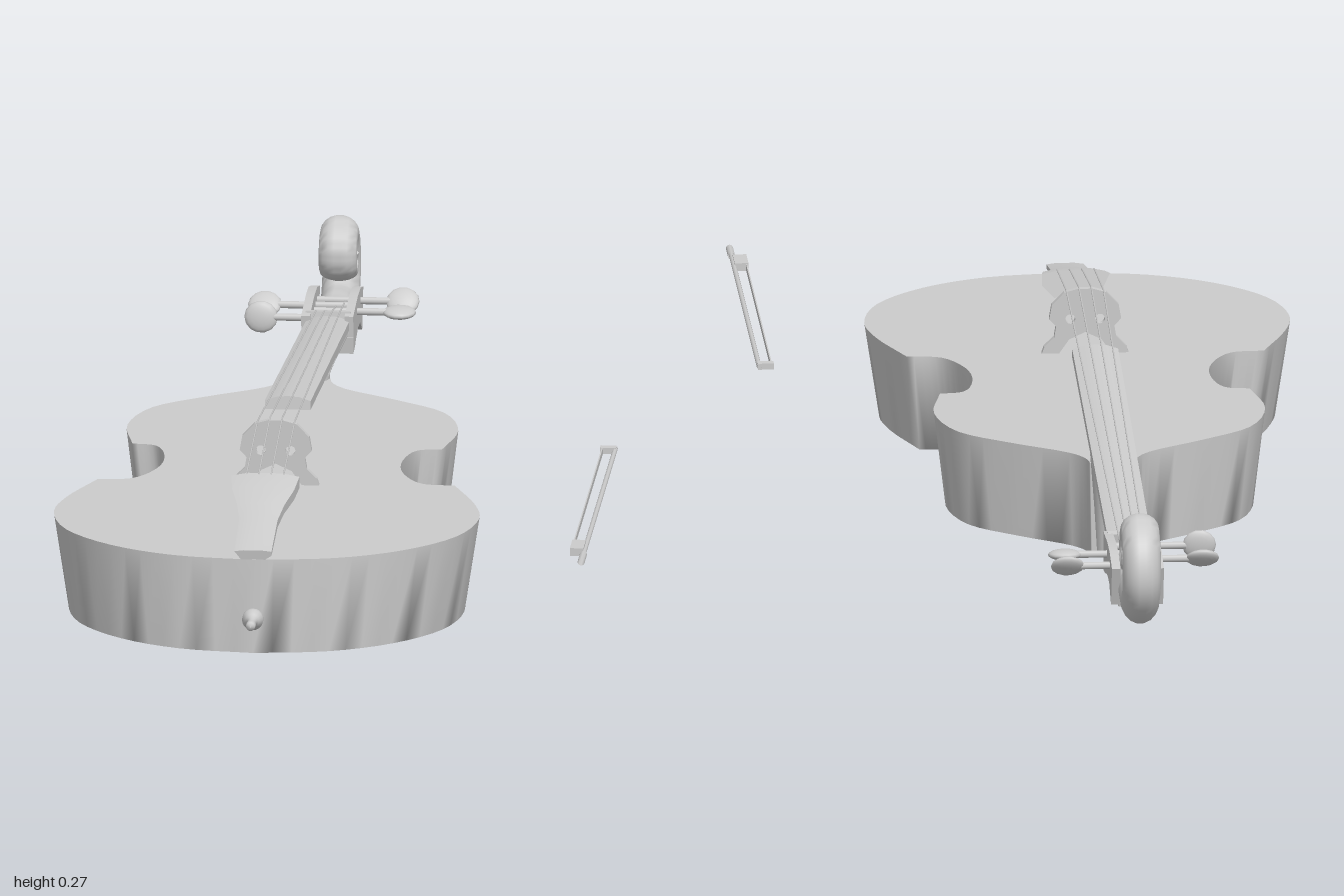
import * as THREE from 'three';
import { toCreasedNormals } from 'three/addons/utils/BufferGeometryUtils.js';

const AXIS = -0.1; // centre line of the instrument in x
const grey = new THREE.MeshStandardMaterial({ color: 0xcccccc, side: THREE.DoubleSide });

const circle = (n) => Array.from({ length: n }, (_, i) => {
  const a = (i / n) * Math.PI * 2;
  return [Math.cos(a), Math.sin(a)];
});
const square = [[-1, -1], [1, -1], [1, 1], [-1, 1]];
const arched = [[-1, -1], [1, -1], [1, 0.3], [0.5, 0.85], [0, 1], [-0.5, 0.85], [-1, 0.3]];
const tapered = [[-0.65, -1], [0.65, -1], [1, -0.1], [1, 0.75], [0.5, 1], [-0.5, 1], [-1, 0.75]];

// Sweeps a unit profile along stations [z, y, halfWidth, halfHeight] in the side plane
function sweep(stations, profile, crease = 0.6) {
  const pos = [], idx = [], n = profile.length, m = stations.length;
  stations.forEach(([z, y, hw, hh], i) => {
    const a = stations[Math.max(i - 1, 0)], b = stations[Math.min(i + 1, m - 1)];
    const len = Math.hypot(b[0] - a[0], b[1] - a[1]);
    const tz = (b[0] - a[0]) / len, ty = (b[1] - a[1]) / len;
    for (const [u, v] of profile) pos.push(u * hw, y + v * hh * tz, z - v * hh * ty);
  });
  for (let i = 0; i < m - 1; i++) {
    for (let j = 0; j < n; j++) {
      const k = (j + 1) % n, a = i * n, b = a + n;
      idx.push(a + j, a + k, b + k, a + j, b + k, b + j);
    }
  }
  const e = (m - 1) * n;
  for (let j = 1; j < n - 1; j++) idx.push(0, j + 1, j, e, e + j, e + j + 1);
  const g = new THREE.BufferGeometry();
  g.setAttribute('position', new THREE.Float32BufferAttribute(pos, 3));
  g.setIndex(idx);
  return toCreasedNormals(g, crease);
}

// Half outline of the body as [x, z]: upper bout, waist, lower bout
const boutCurves = [
  [[0.036, -0.25], [0.042, -0.22], [0.065, -0.185], [0.155, -0.118], [0.235, -0.045], [0.267, 0.07], [0.25, 0.19]],
  [[0.25, 0.19], [0.212, 0.2], [0.192, 0.27], [0.2, 0.35], [0.235, 0.412], [0.288, 0.42]],
  [[0.288, 0.42], [0.33, 0.54], [0.343, 0.63], [0.315, 0.745], [0.235, 0.84], [0.13, 0.897], [0, 0.918]],
];

function bodyGeometry() {
  const half = boutCurves.flatMap((pts, i) => {
    const c = new THREE.CatmullRomCurve3(pts.map(([x, z]) => new THREE.Vector3(x, 0, z)));
    return c.getPoints(24).slice(i ? 1 : 0);
  });
  const ring = [
    ...half.map((p) => new THREE.Vector2(-p.x, -p.z)),
    ...half.slice(0, -1).reverse().map((p) => new THREE.Vector2(p.x, -p.z)),
  ];
  const n = ring.length, pos = [], idx = [];
  // bottom rim (shared with the back), wall top, and belly rim
  for (const [s, y] of [[0.93, 0], [1, 0.155], [1, 0.155]]) {
    for (const p of ring) pos.push(p.x * s, y, -p.y);
  }
  for (let j = 0; j < n; j++) {
    const k = (j + 1) % n;
    idx.push(j, k, n + k, j, n + k, n + j);
  }
  for (const [a, b, c] of THREE.ShapeUtils.triangulateShape(ring, [])) {
    idx.push(a, c, b, 2 * n + a, 2 * n + b, 2 * n + c);
  }
  const g = new THREE.BufferGeometry();
  g.setAttribute('position', new THREE.Float32BufferAttribute(pos, 3));
  g.setIndex(idx);
  g.computeVertexNormals();
  return g;
}

function bridgeGeometry() {
  const half = [[0.026, 0.178], [0.042, 0.155], [0.07, 0.155], [0.066, 0.166], [0.05, 0.182],
    [0.047, 0.2], [0.058, 0.212], [0.054, 0.235], [0.034, 0.256], [0.012, 0.262]];
  const pts = [[0, 0.19], ...half, ...half.slice().reverse().map(([x, y]) => [-x, y])];
  const shape = new THREE.Shape(pts.map(([x, y]) => new THREE.Vector2(x, y)));
  for (const s of [-1, 1]) {
    const hole = new THREE.Path();
    hole.absellipse(s * 0.024, 0.212, 0.008, 0.008, 0, Math.PI * 2);
    shape.holes.push(hole);
  }
  return new THREE.ExtrudeGeometry(shape, { depth: 0.012, bevelEnabled: false, curveSegments: 8 }).translate(0, 0, 0.424);
}

export function createModel() {
  const model = new THREE.Group();
  const instrument = new THREE.Group();
  instrument.name = 'instrument';
  instrument.position.x = AXIS;
  model.add(instrument);

  const add = (name, geo, parent = instrument) => {
    const mesh = new THREE.Mesh(geo, grey);
    mesh.name = name;
    parent.add(mesh);
    return mesh;
  };
  // Thin rod between two points
  const rod = (name, a, b, r, parent, sides = 8) => {
    const curve = new THREE.LineCurve3(new THREE.Vector3(...a), new THREE.Vector3(...b));
    return add(name, new THREE.TubeGeometry(curve, 1, r, sides), parent);
  };

  add('body', bodyGeometry());
  add('bridge', bridgeGeometry());

  // Neck, heel and fingerboard
  add('neck', sweep([[-0.68, 0.122, 0.034, 0.018], [-0.4, 0.15, 0.034, 0.016], [-0.24, 0.166, 0.036, 0.016]], circle(20)));
  add('heel', sweep([[-0.245, 0.001, 0.026, 0.022], [-0.248, 0.08, 0.03, 0.026], [-0.25, 0.165, 0.036, 0.032]], circle(16)));
  add('fingerboard', sweep([[-0.67, 0.138, 0.035, 0.011], [0.18, 0.225, 0.037, 0.011]], arched));
  add('nut', sweep([[-0.685, 0.138, 0.036, 0.016], [-0.67, 0.14, 0.036, 0.016]], square));

  // Tailpiece and end pin
  add('tailpiece', sweep([[0.65, 0.209, 0.055, 0.022], [0.7, 0.201, 0.05, 0.02], [0.75, 0.191, 0.038, 0.017],
    [0.8, 0.181, 0.031, 0.014], [0.918, 0.163, 0.03, 0.008]], tapered));
  const pin = [[0.001, 0.9], [0.017, 0.9], [0.017, 0.926], [0.011, 0.932], [0.007, 0.94], [0.006, 0.955], [0.008, 0.958], [0.007, 0.97], [0.001, 0.971]];
  const endPin = add('endPin', new THREE.LatheGeometry(pin.map(([r, h]) => new THREE.Vector2(r, h)), 20));
  endPin.rotation.x = Math.PI / 2;
  endPin.position.y = 0.057;

  // Pegbox: floor and two cheeks
  add('pegboxFloor', sweep([[-0.85, 0.098, 0.03, 0.022], [-0.8, 0.113, 0.034, 0.012], [-0.75, 0.118, 0.038, 0.012],
    [-0.7, 0.108, 0.042, 0.014], [-0.66, 0.103, 0.042, 0.014]], square));
  for (const s of [-1, 1]) {
    const cheek = add('pegboxCheek', sweep([[-0.86, 0.114, 0.007, 0.035], [-0.81, 0.132, 0.007, 0.028], [-0.76, 0.134, 0.007, 0.027],
      [-0.7, 0.126, 0.007, 0.03], [-0.66, 0.122, 0.007, 0.03]], square));
    cheek.position.x = s * 0.035;
    cheek.rotation.y = 0;
  }

  // Scroll: a spiral with shrinking thickness
  const spiral = new THREE.CatmullRomCurve3([
    [-0.81, 0.12, 0.02], [-0.86, 0.108, 0.033], [-0.925, 0.108, 0.037], [-0.966, 0.15, 0.034], [-0.957, 0.2, 0.03],
    [-0.918, 0.225, 0.026], [-0.886, 0.207, 0.022], [-0.884, 0.178, 0.018], [-0.908, 0.162, 0.015], [-0.929, 0.176, 0.012], [-0.92, 0.19, 0.009],
  ].map((p) => new THREE.Vector3(...p)));
  add('scroll', sweep(spiral.getPoints(70).map((p) => [p.x, p.y, 0.031, p.z]), circle(18), 1));

  // Tuning pegs: [side, z, head tilt]
  for (const [s, z, tilt] of [[1, -0.815, 0.8], [-1, -0.78, 0.7], [1, -0.745, 0.1], [-1, -0.7, 1.45]]) {
    const peg = new THREE.Group();
    peg.name = 'tuningPeg';
    peg.position.set(0, 0.138, z);
    rod('pegShaft', [-s * 0.04, 0, 0], [s * 0.09, 0, 0], 0.006, peg);
    const head = add('pegHead', new THREE.SphereGeometry(1, 14, 10), peg);
    head.scale.set(0.027, 0.009, 0.026);
    head.position.x = s * 0.11;
    head.rotation.x = tilt;
    instrument.add(peg);
  }

  // Strings over the bridge
  for (const k of [-1.5, -0.5, 0.5, 1.5]) {
    const crown = Math.abs(k) > 1 ? 0.258 : 0.264;
    const top = [k * 0.02, crown, 0.43];
    rod('stringFront', [k * 0.02, 0.231, 0.66], top, 0.0013, instrument, 5);
    rod('stringBack', top, [k * 0.013, 0.155, -0.68], 0.0013, instrument, 5);
    rod('stringEnd', [k * 0.013, 0.155, -0.68], [k * 0.012, 0.138, -0.71 - 0.035 * (k + 1.5)], 0.0013, instrument, 5);
  }

  // Bow lying beside the instrument
  const bow = new THREE.Group();
  bow.name = 'bow';
  bow.position.y = 0.183;
  model.add(bow);
  const box = (name, w, h, d, x, z) => add(name, new THREE.BoxGeometry(w, h, d).translate(x, 0, z), bow);
  rod('bowStick', [0.436, 0, 0.27], [0.436, 0, 0.96], 0.004, bow);
  rod('bowScrew', [0.436, 0, 0.95], [0.436, 0, 1], 0.006, bow);
  box('bowHair', 0.002, 0.01, 0.63, 0.416, 0.595);
  box('bowTip', 0.026, 0.01, 0.016, 0.425, 0.279);
  box('bowFrog', 0.022, 0.013, 0.055, 0.424, 0.91);

  return model;
}
